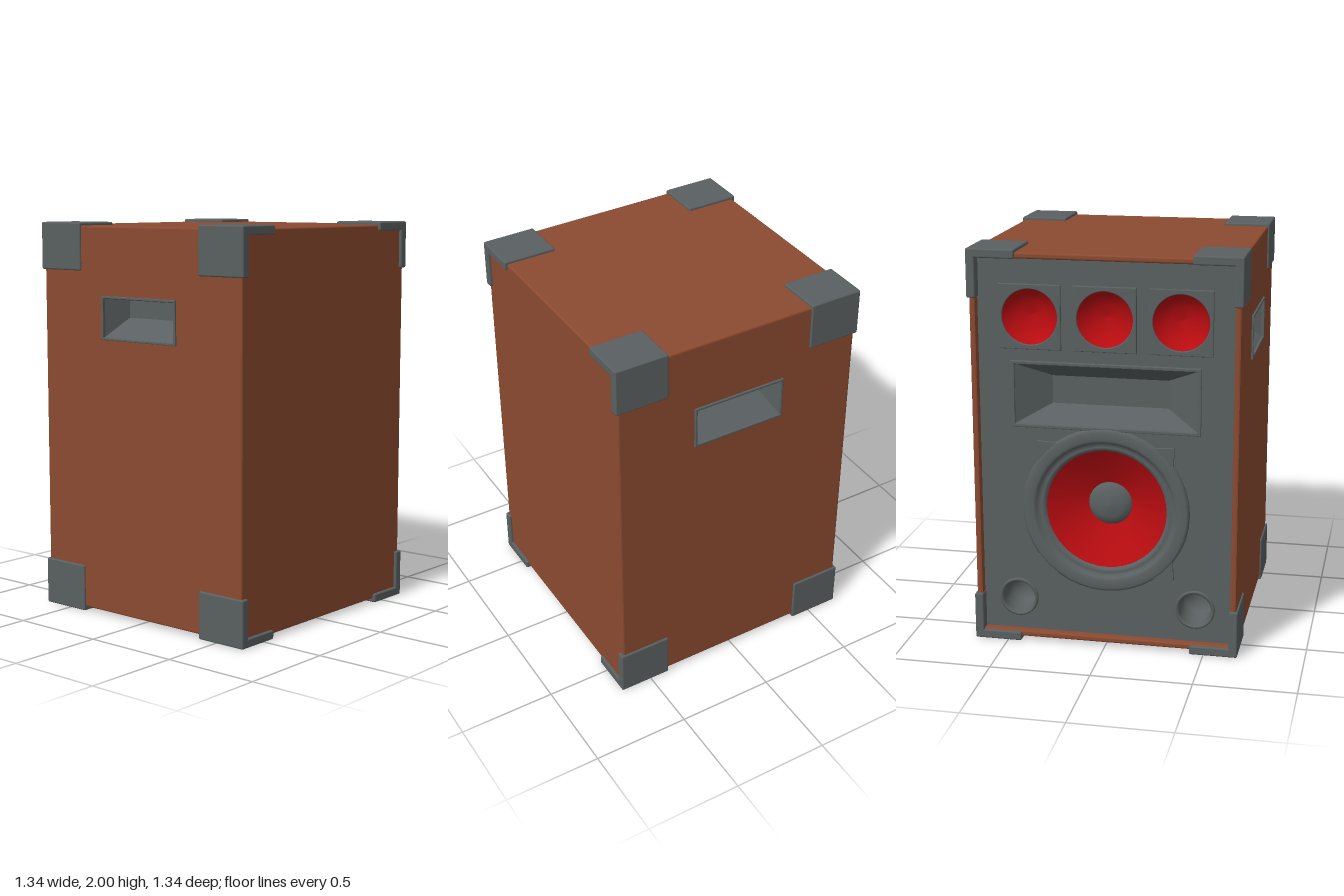
import * as THREE from 'three';
import { RoundedBoxGeometry } from 'three/addons/geometries/RoundedBoxGeometry.js';

const mat = (name, color) => {
  const m = new THREE.MeshStandardMaterial({ color, side: THREE.DoubleSide });
  m.name = name;
  return m;
};

// Rectangle outline from its centre and size
function rect(cx, cy, w, h, Type = THREE.Shape) {
  const x = w / 2, y = h / 2;
  return new Type([[-x, -y], [x, -y], [x, y], [-x, y]].map(([a, b]) => new THREE.Vector2(cx + a, cy + b)));
}
const circle = (cx, cy, r) => new THREE.Path().absarc(cx, cy, r, 0, Math.PI * 2, true);

// Flat plate with holes, from z0 to z0 + depth
function plate(shape, holes, z0, depth, bevel = 0) {
  shape.holes.push(...holes);
  const g = new THREE.ExtrudeGeometry(shape, {
    depth: depth - 2 * bevel, bevelEnabled: bevel > 0, bevelSize: bevel, bevelThickness: bevel,
    bevelOffset: -bevel, bevelSegments: 2, curveSegments: 32,
  });
  return g.translate(0, 0, z0 + bevel);
}

// Pocket opening towards +z: each rect is [x0, x1, y0, y1]
function pocket(mouth, floor, depth) {
  const ring = ([x0, x1, y0, y1], z) => [[x0, y0, z], [x1, y0, z], [x1, y1, z], [x0, y1, z]];
  const a = ring(mouth, 0), b = ring(floor, -depth), pos = [];
  const quad = (p, q, r, s) => pos.push(...p, ...q, ...r, ...p, ...r, ...s);
  for (let i = 0; i < 4; i++) {
    const j = (i + 1) % 4;
    quad(a[i], a[j], b[j], b[i]);
  }
  quad(...b);
  const g = new THREE.BufferGeometry();
  g.setAttribute('position', new THREE.Float32BufferAttribute(pos, 3));
  g.computeVertexNormals();
  return g;
}

// Turned part facing +z, profile given as [radius, z] from the rim inwards
const turned = (pts) =>
  new THREE.LatheGeometry(pts.map(([r, z]) => new THREE.Vector2(r, z)), 40).rotateX(Math.PI / 2);

export function createModel() {
  const brown = mat('brown cabinet', 0x8b4a30);
  const grey = mat('grey plastic', 0x5a6061);
  const red = mat('red cone', 0xb80c10);
  const model = new THREE.Group();
  model.name = 'speakerCabinet';

  const add = (parent, name, geo, material, x = 0, y = 0, z = 0) => {
    const m = new THREE.Mesh(geo, material);
    m.name = name;
    m.position.set(x, y, z);
    parent.add(m);
    return m;
  };
  const block = (parent, name, w, h, d, material, x, y, z, r = 0.01) =>
    add(parent, name, new RoundedBoxGeometry(w, h, d, 2, r), material, x, y, z);

  // Cabinet walls; the -x side stays open for the baffle
  const W = 1.31, H = 1.965, D = 1.32, T = 0.03, MID = 0.02 + H / 2;
  block(model, 'topWall', W, T, D, brown, 0, 0.02 + H - T / 2, 0);
  block(model, 'bottomWall', W, T, D, brown, 0, 0.02 + T / 2, 0);
  block(model, 'sideWall', T, H, D, brown, W / 2 - T / 2, MID, 0);

  // Walls with recessed carrying handles, front and back
  for (const [name, turn] of [['front', 0], ['back', Math.PI]]) {
    const g = new THREE.Group();
    g.name = name + 'HandleSide';
    g.rotation.y = turn;
    model.add(g);
    const HY = 1.53;
    add(g, name + 'Wall', plate(rect(0, MID, W, H), [rect(0, HY, 0.47, 0.19, THREE.Path)], D / 2 - T, T, 0.008), brown);
    add(g, name + 'HandleFrame',
      plate(rect(0, HY, 0.495, 0.22), [rect(0, HY, 0.47, 0.195, THREE.Path)], 0.64, 0.03, 0.003), grey);
    add(g, name + 'HandlePocket',
      pocket([-0.238, 0.238, 1.43, 1.63], [-0.19, 0.19, 1.525, 1.63], 0.14), grey, 0, 0, 0.662);
  }

  // Corner protectors: an upright plate and a flat plate at each corner
  for (const sx of [-1, 1]) for (const sz of [-1, 1]) for (const top of [0, 1]) {
    const g = new THREE.Group();
    g.name = 'cornerProtector';
    model.add(g);
    block(g, 'cornerUpright', 0.277, 0.24, 0.045, grey, sx * 0.5315, top ? 1.88 : 0.12, sz * 0.6475, 0.008);
    block(g, 'cornerFlat', 0.277, 0.045, 0.24, grey, sx * 0.5315, top ? 1.9775 : 0.0225, sz * 0.55, 0.008);
  }

  // Baffle with the drivers, facing -x
  const baffle = new THREE.Group();
  baffle.name = 'baffle';
  baffle.position.x = -0.615;
  baffle.rotation.y = -Math.PI / 2;
  model.add(baffle);

  const tweeters = [-0.37, 0, 0.37], TY = 1.67, WY = 0.71, PY = 0.22;
  add(baffle, 'bafflePanel', plate(rect(0, MID, 1.264, 1.91), [
    ...tweeters.map((u) => circle(u, TY, 0.14)),
    rect(0, 1.285, 0.9, 0.3, THREE.Path),
    circle(0, WY, 0.36),
    circle(-0.45, PY, 0.085), circle(0.45, PY, 0.085),
  ], -0.03, 0.03), grey);

  // Tweeters
  for (const u of tweeters) {
    add(baffle, 'tweeterPlate', plate(rect(u, TY, 0.31, 0.32), [circle(u, TY, 0.137)], 0, 0.014, 0.004), grey);
    add(baffle, 'tweeterCone', turned([[0.14, 0.006], [0.11, -0.03], [0.06, -0.06], [0, -0.07]]), red, u, TY, 0);
  }

  // Horn
  add(baffle, 'hornFrame',
    plate(rect(0, 1.285, 0.94, 0.335), [rect(0, 1.285, 0.9, 0.3, THREE.Path)], 0, 0.014, 0.004), grey);
  add(baffle, 'hornThroat', pocket([-0.452, 0.452, 1.134, 1.436], [-0.29, 0.29, 1.215, 1.355], 0.12), grey, 0, 0, 0.004);

  // Woofer
  add(baffle, 'wooferRing', turned([[0.42, 0], [0.418, 0.016], [0.405, 0.024], [0.365, 0.024], [0.35, 0.016],
    [0.34, -0.002], [0.325, 0.004], [0.31, 0], [0.3, -0.015]]), grey, 0, WY, 0);
  add(baffle, 'wooferCone', turned([[0.305, -0.01], [0.2, -0.075], [0.1, -0.12]]), red, 0, WY, 0);
  add(baffle, 'wooferCap', turned([[0.112, -0.118], [0.1, -0.1], [0.065, -0.082], [0, -0.075]]), grey, 0, WY, 0);
  for (let i = 0; i < 4; i++) {
    const ear = new THREE.Shape([[0.4, -0.075], [0.485, 0], [0.4, 0.075]].map(([x, y]) => new THREE.Vector2(x, y)));
    add(baffle, 'wooferEar', plate(ear, [], 0, 0.018), grey, 0, WY, 0).rotation.z = Math.PI / 4 + i * Math.PI / 2;
  }

  // Bass ports
  for (const u of [-0.45, 0.45]) {
    add(baffle, 'portTube', turned([[0.1, 0], [0.098, 0.012], [0.088, 0.014], [0.08, 0], [0.075, -0.15], [0, -0.15]]),
      grey, u, PY, 0);
  }
  return model;
}
